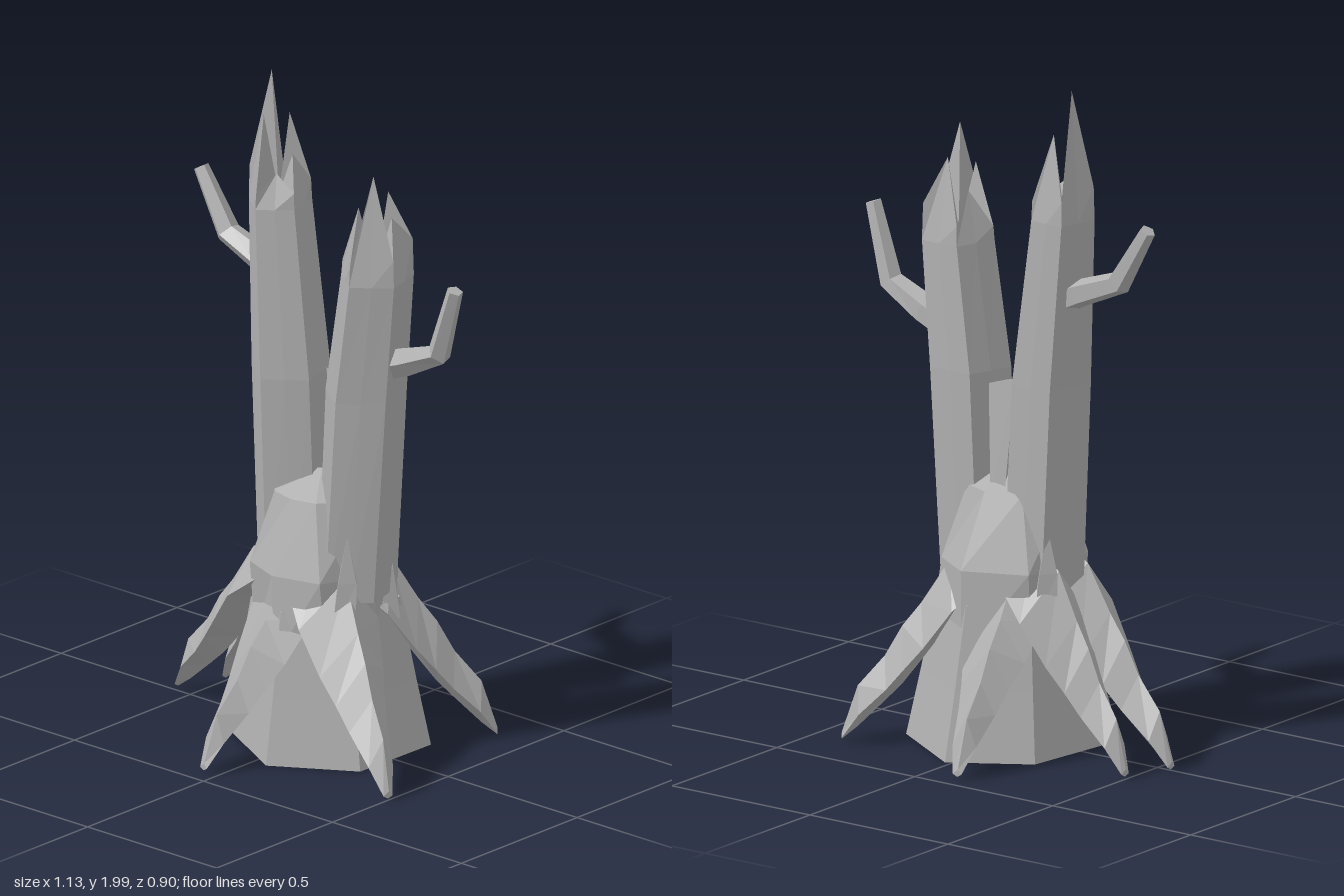
import * as THREE from 'three';

const V = (x, y, z) => new THREE.Vector3(x, y, z);

// Skin a list of rings (each counterclockwise seen from its far end) with faceted faces; only the far end is closed.
function loft(rings, endPoint) {
  const pos = [];
  const tri = (...pts) => pts.forEach(p => pos.push(p.x, p.y, p.z));
  const n = rings[0].length, last = rings[rings.length - 1];
  const end = endPoint || last.reduce((s, p) => s.add(p), V(0, 0, 0)).divideScalar(n);
  for (let i = 0; i < n; i++) {
    const j = (i + 1) % n;
    for (let k = 0; k < rings.length - 1; k++) {
      const a = rings[k][i], b = rings[k][j], c = rings[k + 1][i], d = rings[k + 1][j];
      tri(a, b, d);
      tri(a, d, c);
    }
    tri(last[i], last[j], end);
  }
  const g = new THREE.BufferGeometry();
  g.setAttribute('position', new THREE.Float32BufferAttribute(pos, 3));
  g.computeVertexNormals();
  return g;
}

// Horizontal rings: a regular oval, or a list of [x, z] corners
function oval(n, y, cx, cz, rx, rz, turn = 0) {
  return Array.from({ length: n }, (_, i) => {
    const a = turn + i / n * Math.PI * 2;
    return V(cx + Math.cos(a) * rx, y, cz - Math.sin(a) * rz);
  });
}
const outline = (y, corners, s = 1) => corners.map(([x, z]) => V(x * s, y, z * s));

// Five-sided stem; each side ends in a splinter leaning inwards, with notches at the corners
function stem(levels, tips, notches) {
  const ring = ([y, cx, cz, rx, rz]) => oval(10, y, cx, cz, rx, rz, Math.PI * 1.5).map((p, i) =>
    i % 2 ? V(cx + (p.x - cx) * 0.83, y, cz + (p.z - cz) * 0.83) : p);
  const [y, cx, cz] = levels[levels.length - 1];
  const rings = levels.map(ring);
  const crown = rings[rings.length - 1].map((p, i) => {
    const s = i % 2 ? 0.55 : 0.97, k = Math.floor(i / 2);
    return V(cx + (p.x - cx) * s, i % 2 ? tips[k] : notches[k], cz + (p.z - cz) * s);
  });
  return loft([...rings, crown], V(cx, y + 0.02, cz));
}

// Root arching down from the trunk; stations: fraction, top, bottom, half width
function root(ox, oz, tx, tz) {
  const stations = [
    [0.1, 0.61, 0.45, 0.11], [0.32, 0.55, 0.35, 0.125], [0.5, 0.42, 0.24, 0.1], [0.62, 0.35, 0.17, 0.077],
    [0.73, 0.26, 0.12, 0.06], [0.9, 0.17, 0.045, 0.038], [1, 0.03, 0.008, 0.014]
  ];
  const d = V(tx - ox, 0, tz - oz).normalize();
  return loft(stations.map(([f, top, bottom, w]) => {
    const x = ox + (tx - ox) * f, z = oz + (tz - oz) * f;
    const m = bottom + (top - bottom) * 0.35;
    const sx = d.z * w, sz = -d.x * w;
    return [V(x + sx, m, z + sz), V(x + sx * 0.2, top, z + sz * 0.2),
      V(x - sx, m, z - sz), V(x, bottom, z)];
  }));
}

// Five-sided bent branch along points [x, y, z, radius]
function branch(path) {
  const pts = path.map(p => V(p[0], p[1], p[2]));
  return loft(path.map((p, i) => {
    const d = pts[Math.min(i + 1, pts.length - 1)].clone().sub(pts[Math.max(i - 1, 0)]).setZ(0).normalize();
    const u = V(0, 0, 1), v = d.clone().cross(u);
    return Array.from({ length: 5 }, (_, k) => {
      const a = k / 5 * Math.PI * 2;
      return pts[i].clone().addScaledVector(u, Math.cos(a) * p[3]).addScaledVector(v, Math.sin(a) * p[3]);
    });
  }));
}

export function createModel() {
  const group = new THREE.Group();
  const wood = new THREE.MeshStandardMaterial({ color: 0xb0b0b0, side: THREE.DoubleSide });
  wood.name = 'grey wood';
  const add = (name, geometry) => {
    const mesh = new THREE.Mesh(geometry, wood);
    mesh.name = name;
    group.add(mesh);
  };

  // Hollow six-sided foot, open underneath
  const foot = [[0.29, -0.16], [0.02, -0.33], [-0.2, -0.19], [-0.24, 0.13], [0.05, 0.285], [0.285, 0.14]];
  add('trunkFoot', loft([outline(0, foot), outline(0.2, foot, 0.87), outline(0.45, foot, 0.72)]));

  // Trunk body with a crease front and back, narrowing to a ridge between the stems
  add('trunkBody', loft([
    outline(0.3, [[0.22, 0], [0.17, -0.155], [0.02, -0.25], [-0.15, -0.14],
      [-0.175, 0], [-0.14, 0.12], [0.02, 0.215], [0.16, 0.145]]),
    outline(0.55, [[0.22, 0], [0.17, -0.15], [0.035, -0.235], [-0.15, -0.155],
      [-0.2, 0], [-0.13, 0.155], [0, 0.205], [0.15, 0.165]]),
    outline(0.77, [[0.19, 0], [0.11, -0.105], [0.02, -0.14], [-0.09, -0.105],
      [-0.17, 0], [-0.07, 0.115], [0.01, 0.135], [0.09, 0.115]])
  ], V(0.01, 0.83, 0)));

  // Two stems of the fork: y, centre x, centre z, radius x, radius z
  add('rightStem', stem([
    [0.42, -0.09, -0.005, 0.118, 0.13],
    [1.1, -0.125, -0.01, 0.117, 0.125],
    [1.6, -0.176, -0.022, 0.093, 0.102]
  ], [1.7, 1.75, 1.86, 1.99, 1.87], [1.64, 1.65, 1.66, 1.67, 1.7]));
  add('leftStem', stem([
    [0.48, 0.135, -0.005, 0.114, 0.13],
    [1.1, 0.172, -0.005, 0.122, 0.126],
    [1.47, 0.22, 0, 0.107, 0.116]
  ], [1.8, 1.66, 1.72, 1.62, 1.69], [1.53, 1.55, 1.58, 1.53, 1.51]));

  // Splinter standing in the fork
  add('forkSplinter', loft([
    [V(0.03, 0.75, -0.1), V(-0.02, 0.75, -0.1), V(0.01, 0.75, -0.03)],
    [V(0.055, 1.075, -0.075), V(-0.04, 1.105, -0.075), V(0.015, 1.085, -0.045)]
  ]));

  // Thin bark spikes beside the fork
  for (const [x, z, h] of [[0.19, 0.09, 0.69], [0.19, -0.07, 0.72], [-0.17, -0.09, 0.68]]) {
    add('barkSpike', loft([oval(4, 0.4, x, z * 1.2, 0.05, 0.05), oval(4, 0.55, x, z, 0.035, 0.04)], V(x, h, z)));
  }

  // Roots: start x, z and tip x, z
  const roots = [
    [-0.03, 0.055, -0.56, -0.015], [-0.04, -0.06, -0.5, -0.155], [-0.04, 0, -0.115, -0.45],
    [0.04, -0.04, 0.39, -0.335], [0.02, 0.04, 0.505, 0.265], [0, 0, -0.045, 0.45]
  ];
  roots.forEach(r => add('root', root(...r)));

  // Side branches
  add('leftBranch', branch([
    [0.24, 1.2, -0.02, 0.045], [0.33, 1.235, -0.015, 0.044], [0.465, 1.295, 0, 0.036], [0.545, 1.515, 0.02, 0.024]
  ]));
  add('rightBranch', branch([
    [-0.19, 1.36, -0.04, 0.042], [-0.25, 1.39, -0.04, 0.042], [-0.39, 1.445, -0.04, 0.037], [-0.495, 1.62, -0.04, 0.024]
  ]));

  return group;
}
